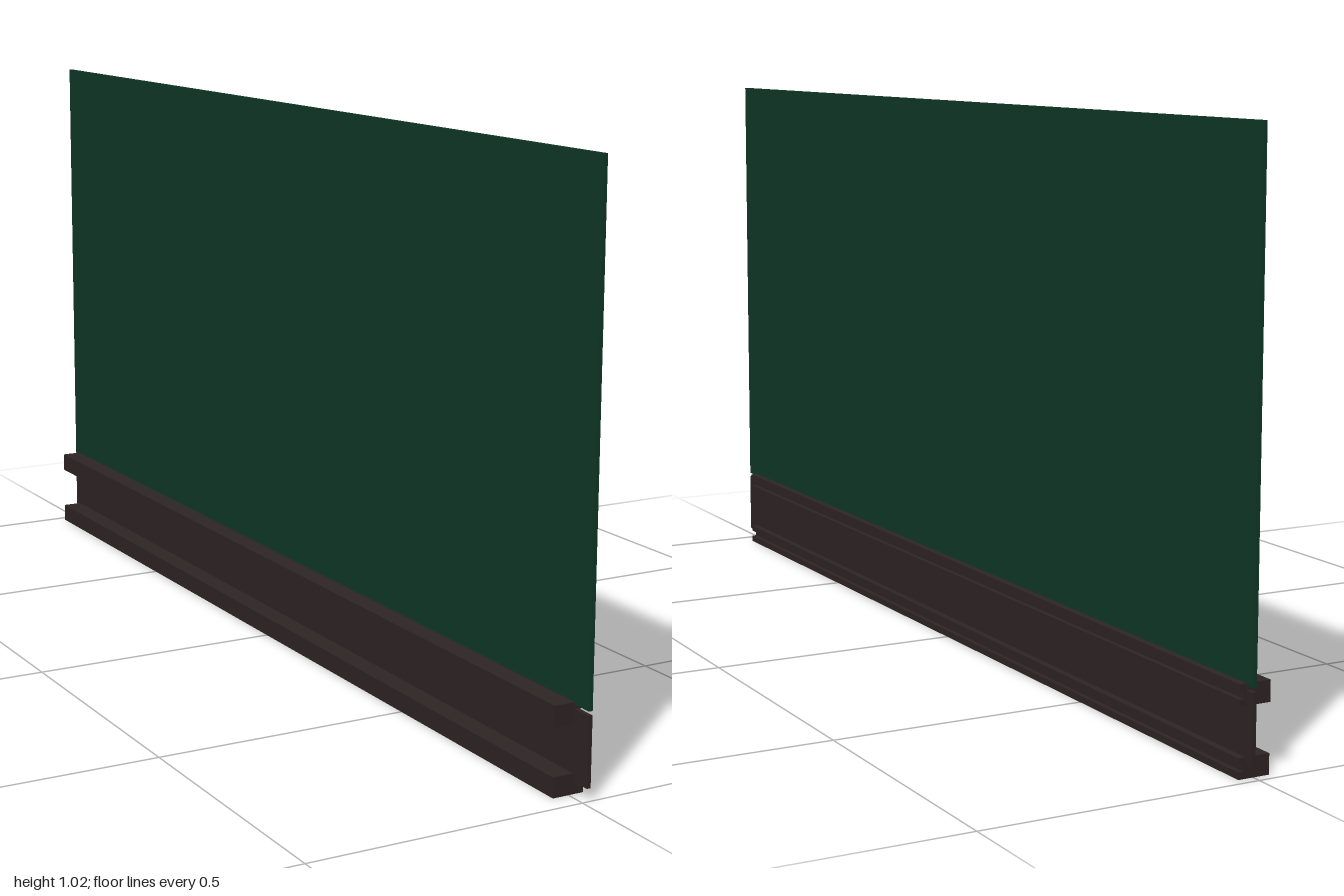
import * as THREE from 'three';

const green = new THREE.MeshStandardMaterial({ color: 0x0f3726 });
green.name = 'board green';
const brown = new THREE.MeshStandardMaterial({ color: 0x2e2424 });
brown.name = 'dark brown';

// Upright slab spanning the full length, between two heights
function slab(name, bottom, top, material) {
  const mesh = new THREE.Mesh(new THREE.BoxGeometry(0.007, top - bottom, 2), material);
  mesh.position.set(0.0115, (bottom + top) / 2, 0);
  mesh.name = name;
  return mesh;
}

// Horizontal rail with a groove along its outer (+x) side
function rail(name, bottom, top, grooveBottom, grooveTop) {
  const profile = new THREE.Shape([
    [-0.03, bottom], [0.028, bottom], [0.028, grooveBottom], [0.019, grooveBottom],
    [0.019, grooveTop], [0.028, grooveTop], [0.028, top], [-0.03, top],
  ].map(([x, y]) => new THREE.Vector2(x, y)));
  const geometry = new THREE.ExtrudeGeometry(profile, { depth: 1.945, bevelEnabled: false });
  const mesh = new THREE.Mesh(geometry, brown);
  mesh.position.z = -0.983;
  mesh.name = name;
  return mesh;
}

export function createModel() {
  const group = new THREE.Group();
  group.name = 'boardPanel';
  group.add(
    slab('board', 0.15, 1.025, green),
    slab('baseStrip', 0.022, 0.143, brown),
    rail('upperRail', 0.118, 0.154, 0.129, 0.142),
    rail('lowerRail', 0, 0.035, 0.012, 0.024),
  );
  return group;
}
